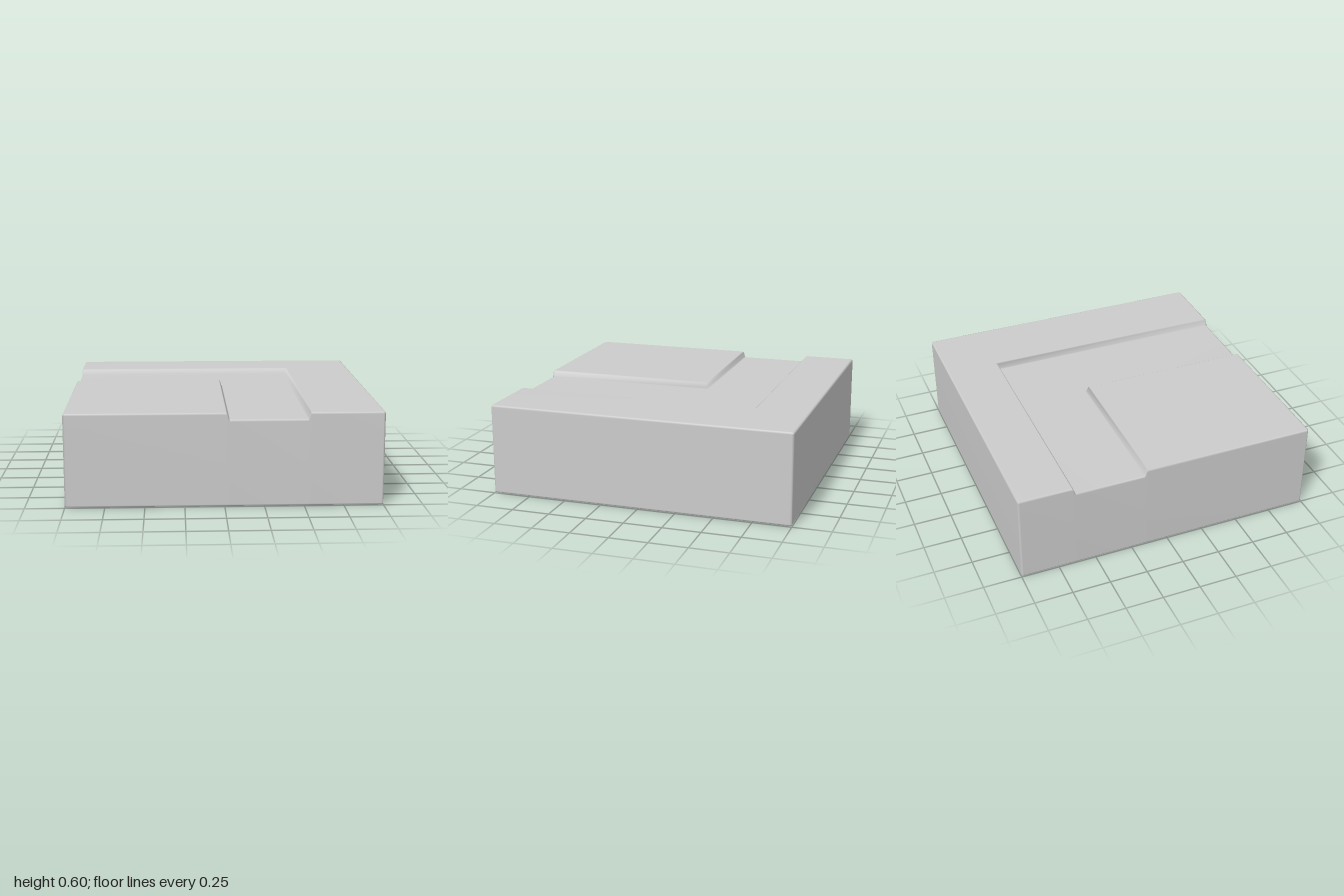
import * as THREE from 'three';
import { mergeVertices } from 'three/addons/utils/BufferGeometryUtils.js';

const H = 0.6, B = 0.014, FLOOR = 0.557; // block height, edge rounding, channel floor

// Concentric L-shaped steps from the outer corner inwards:
// [corner x, corner z, underside y, top y, corner softening]
const STEPS = [
  [1, -1, B, H - B, B],
  [1, -1, 0, H, B],
  [1 - B, -1 + B, 0, H, 0],
  [0.54, -0.65, 0, H, 0],
  [0.532, -0.642, 0, H - 0.005, 0],
  [0.523, -0.633, 0, FLOOR + 0.006, 0],
  [0.515, -0.625, 0, FLOOR, 0],
  [0.032, -0.17, 0, FLOOR, 0],
  [0.024, -0.162, 0, FLOOR + 0.006, 0],
  [0.015, -0.153, 0, H - 0.005, 0],
  [0.007, -0.145, 0, H, 0],
  [-1 + B, 1 - B, 0, H, 0],
];

// Pull a point on the sharp block on to its rounded edges
function rounded(x, y, z, top) {
  const p = new THREE.Vector3(x, y, z);
  const core = p.clone().clamp(
    new THREE.Vector3(-1 + B, B, -1 + B),
    new THREE.Vector3(1 - B, top - B, 1 - B));
  return p.sub(core).setLength(B).add(core);
}

// Closed loop: up the front, over the top round the L, down the side, back underneath
function ring([x, z, lo, hi, e], k) {
  const top = k === 0 ? H : hi;
  const y0 = Math.max(lo, B), y1 = top - B;
  return [
    [x, lo, 1 - B], [x, lo, 1], [x, y0, 1], [x, y1, 1], [x, hi, 1], [x, hi, 1 - B],
    [x, hi, z + e], [x, hi, z], [x - e, hi, z],
    [-1 + B, hi, z], [-1, hi, z], [-1, y1, z], [-1, y0, z], [-1, lo, z], [-1 + B, lo, z],
    [x - e, lo, z], [x, lo, z], [x, lo, z + e],
  ].map(([px, py, pz]) => rounded(px, py, pz, top));
}

function blockGeometry() {
  const rings = STEPS.map(ring), n = rings[0].length, pos = [];
  const tri = (a, b, c) => {
    const area = b.clone().sub(a).cross(c.clone().sub(a)).length();
    if (area > 1e-9) for (const p of [a, b, c]) pos.push(p.x, p.y, p.z);
  };
  const quad = (a, b, c, d) => { tri(a, b, c); tri(a, c, d); };

  // Skin between neighbouring loops
  for (let k = 0; k < rings.length - 1; k++) {
    const r = rings[k], s = rings[k + 1];
    for (let i = 0; i < n; i++) {
      const j = (i + 1) % n;
      quad(r[i], r[j], s[j], s[i]);
    }
  }
  // Outer walls (right-hand side and back)
  const outer = rings[0], low = i => outer[(5 - i + n) % n];
  for (let i = 3; i < 11; i++) quad(outer[i], low(i), low(i + 1), outer[i + 1]);
  // Rounded upright edge where the front meets the open side
  const inner = rings[rings.length - 1];
  for (let i = 0; i < 7; i++) quad(inner[i], inner[i + 1], inner[13 - i], inner[14 - i]);

  const raw = new THREE.BufferGeometry();
  raw.setAttribute('position', new THREE.Float32BufferAttribute(pos, 3));
  const geo = mergeVertices(raw, 1e-5);
  geo.computeVertexNormals();
  return geo;
}

export function createModel() {
  const group = new THREE.Group();
  group.name = 'cornerChannelTile';
  const block = new THREE.Mesh(blockGeometry(), new THREE.MeshStandardMaterial({ color: 0xcccccc }));
  block.name = 'channelBlock';
  group.add(block);
  return group;
}
